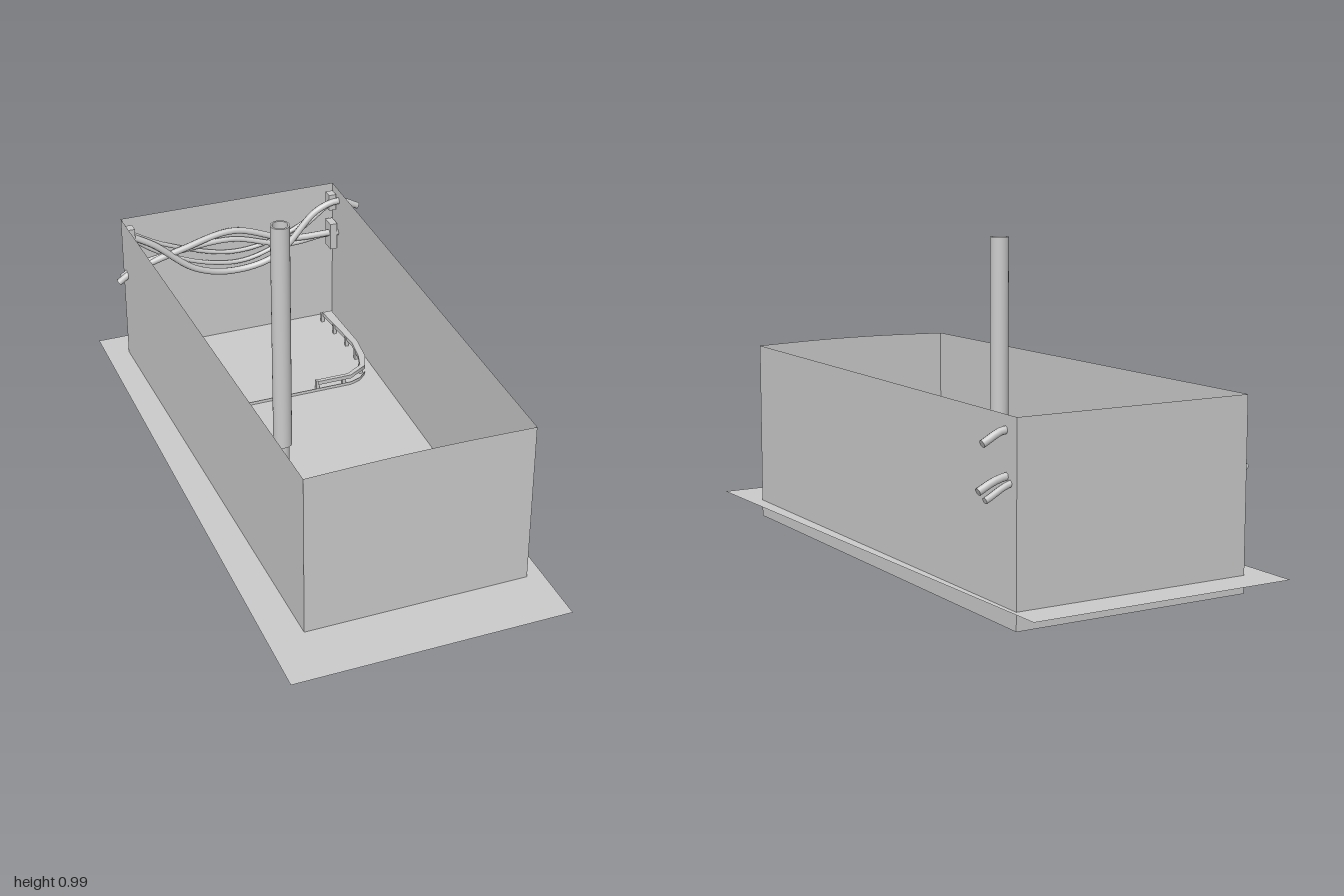
import * as THREE from 'three';

const grey = new THREE.MeshStandardMaterial({ color: 0xcccccc, side: THREE.DoubleSide });

function add(parent, name, geometry, x = 0, y = 0, z = 0) {
  const mesh = new THREE.Mesh(geometry, grey);
  mesh.name = name;
  mesh.position.set(x, y, z);
  parent.add(mesh);
  return mesh;
}

// Upright thin panel between two plan points, with top heights at both ends and a crown
function panel([ax, az, ah], [bx, bz, bh], crown = 0) {
  const g = new THREE.PlaneGeometry(1, 1, crown ? 16 : 1, 1);
  const p = g.attributes.position;
  for (let i = 0; i < p.count; i++) {
    const t = p.getX(i) + 0.5, v = p.getY(i) + 0.5;
    const h = THREE.MathUtils.lerp(ah, bh, t) + crown * Math.sin(Math.PI * t);
    p.setXYZ(i, THREE.MathUtils.lerp(ax, bx, t), v * h, THREE.MathUtils.lerp(az, bz, t));
  }
  g.computeVertexNormals();
  return g;
}

// Flat or upright ribbon joining two equally long rows of points
function ribbon(rowA, rowB) {
  const pos = [], idx = [];
  rowA.forEach((a, i) => {
    pos.push(...a, ...rowB[i]);
    if (i) idx.push(2 * i - 2, 2 * i, 2 * i - 1, 2 * i - 1, 2 * i, 2 * i + 1);
  });
  const g = new THREE.BufferGeometry();
  g.setAttribute('position', new THREE.Float32BufferAttribute(pos, 3));
  g.setIndex(idx);
  g.computeVertexNormals();
  return g;
}

export function createModel() {
  const model = new THREE.Group();
  model.name = 'enclosure';

  // Ground sheet
  const ground = new THREE.PlaneGeometry(0.88, 2);
  ground.rotateX(-Math.PI / 2);
  add(model, 'groundSheet', ground, -0.04, 0.055, 0);

  // Four thin walls, slightly wider at the back
  const fr = [-0.365, 0.8, 0.593], fl = [0.35, 0.8, 0.593];
  const br = [-0.4, -0.89, 0.588], bl = [0.385, -0.89, 0.588];
  add(model, 'frontWall', panel(fr, fl, 0.007));
  add(model, 'leftWall', panel(fl, bl));
  add(model, 'backWall', panel(bl, br));
  add(model, 'rightWall', panel(br, fr));

  // Hollow standing pipe with a narrower foot
  const pipe = [[0.022, 0.05], [0.022, 0.21], [0.03, 0.21], [0.03, 0.99], [0.024, 0.99], [0.024, 0.25]];
  for (let i = 1; i < pipe.length; i++) {
    const pair = [pipe[i - 1], pipe[i]].map(([r, y]) => new THREE.Vector2(r, y));
    add(model, 'standingPipe', new THREE.LatheGeometry(pair, 24), -0.165, 0, 0.08);
  }

  // Low tray with rounded front corners
  const tray = new THREE.Group();
  tray.name = 'tray';
  model.add(tray);
  const half = [[0, -0.395], [0.27, -0.395], [0.31, -0.41], [0.34, -0.44], [0.365, -0.5], [0.378, -0.6], [0.37, -0.86]];
  const outline = [...half.slice(1).reverse().map(([x, z]) => [-x - 0.008, z]), ...half.map(([x, z]) => [x - 0.008, z])];
  add(tray, 'trayEdge', ribbon(outline.map(([x, z]) => [x, 0.05, z]), outline.map(([x, z]) => [x, 0.066, z])));

  // Raised rails on both sides, open in the middle of the front, held by pegs
  const outer = [[0.15, -0.398], [0.27, -0.398], [0.34, -0.44], [0.365, -0.5], [0.378, -0.6], [0.37, -0.84]];
  const inner = [[0.15, -0.412], [0.265, -0.412], [0.325, -0.45], [0.343, -0.51], [0.355, -0.6], [0.335, -0.84]];
  for (const s of [-1, 1]) {
    const at = (y) => ([x, z]) => [s * x - 0.008, y, z];
    add(tray, 'railTop', ribbon(outer.map(at(0.092)), inner.map(at(0.092))));
    add(tray, 'railSide', ribbon(outer.map(at(0.078)), outer.map(at(0.092))));
    add(tray, 'railSide', ribbon(inner.map(at(0.078)), inner.map(at(0.092))));
    const line = new THREE.CatmullRomCurve3(inner.map(([x, z]) => new THREE.Vector3(s * x - 0.008, 0.072, z)));
    for (let i = 0; i < 7; i++) {
      const p = line.getPointAt(i / 6);
      add(tray, 'railPeg', new THREE.BoxGeometry(0.012, 0.036, 0.012), p.x, p.y, p.z);
    }
  }

  // Cable clamps on both side walls
  for (const x of [-0.38, 0.363]) {
    add(model, 'lowerClamp', new THREE.BoxGeometry(0.026, 0.1, 0.05), x, 0.41, -0.845);
    add(model, 'upperClamp', new THREE.BoxGeometry(0.026, 0.06, 0.035), x, 0.54, -0.85);
  }

  // Cables: two arching from the lower clamps, three sagging from the upper ones
  const cables = [
    [0.012, [-0.43, 0.365, -0.85], [-0.38, 0.4, -0.845], [-0.2, 0.45, -0.85], [0, 0.48, -0.865], [0.2, 0.42, -0.85], [0.37, 0.42, -0.835], [0.42, 0.41, -0.835], [0.473, 0.385, -0.835]],
    [0.01, [-0.415, 0.38, -0.86], [-0.36, 0.42, -0.85], [-0.18, 0.44, -0.865], [0, 0.44, -0.878], [0.2, 0.39, -0.865], [0.37, 0.405, -0.855], [0.468, 0.365, -0.862]],
    [0.012, [-0.385, 0.54, -0.85], [-0.3, 0.49, -0.845], [-0.15, 0.37, -0.84], [0, 0.33, -0.85], [0.15, 0.37, -0.835], [0.3, 0.52, -0.83], [0.385, 0.545, -0.83], [0.457, 0.513, -0.83]],
    [0.008, [-0.385, 0.53, -0.86], [-0.28, 0.45, -0.865], [-0.1, 0.37, -0.87], [0.05, 0.35, -0.878], [0.22, 0.42, -0.865], [0.36, 0.53, -0.85]],
    [0.008, [-0.385, 0.55, -0.855], [-0.25, 0.47, -0.87], [0, 0.39, -0.88], [0.2, 0.43, -0.87], [0.36, 0.54, -0.845]],
  ];
  for (const [r, ...points] of cables) {
    const path = new THREE.CatmullRomCurve3(points.map((p) => new THREE.Vector3(...p)));
    add(model, 'cable', new THREE.TubeGeometry(path, 48, r, 8));
    for (const t of [0, 1]) {
      const cap = add(model, 'cableEnd', new THREE.CircleGeometry(r, 8));
      cap.position.copy(path.getPoint(t));
      cap.quaternion.setFromUnitVectors(new THREE.Vector3(0, 0, 1), path.getTangent(t));
    }
  }

  return model;
}
